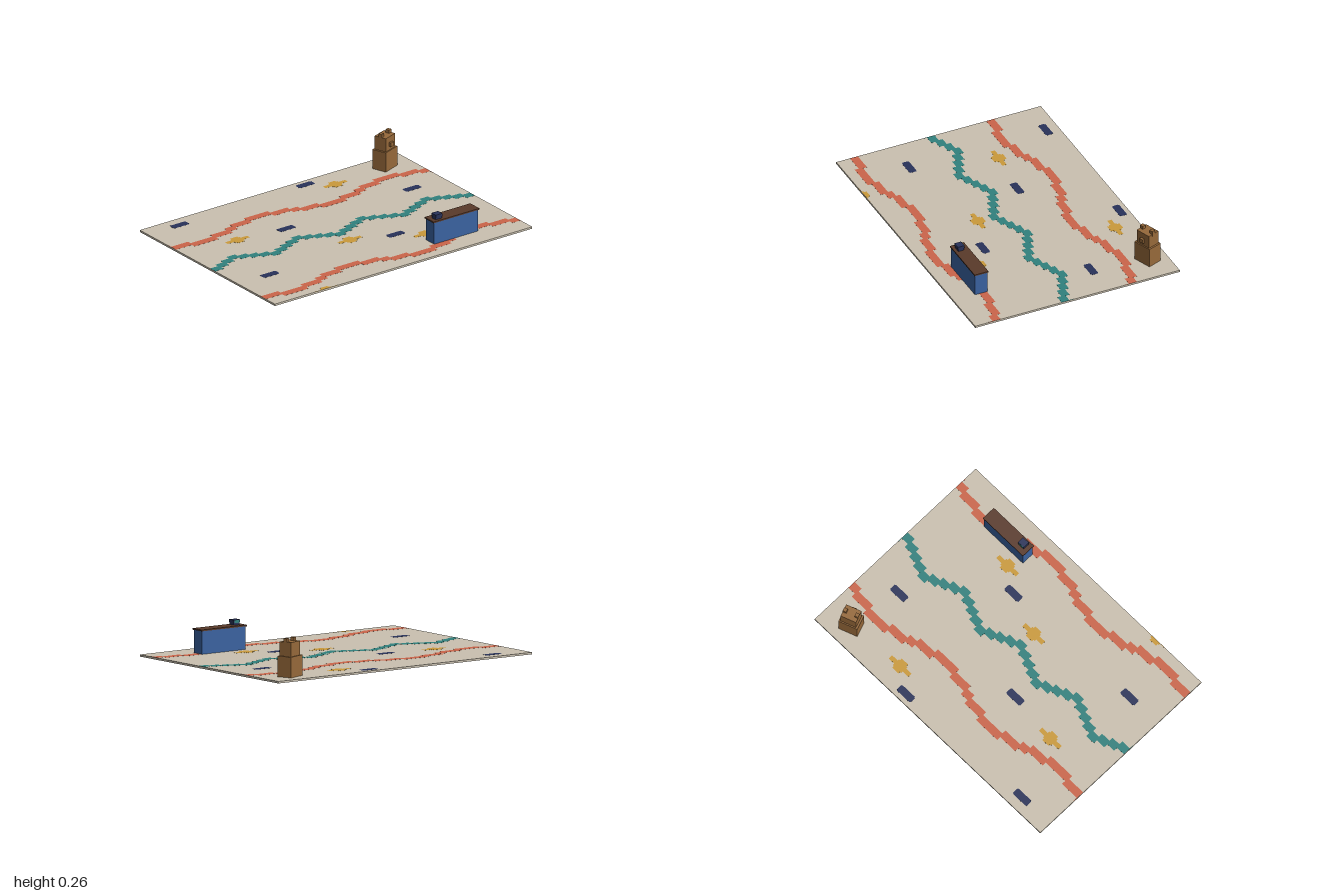
import * as THREE from 'three';
import { mergeGeometries } from 'three/addons/utils/BufferGeometryUtils.js';

const mat = (name, color) => {
  const m = new THREE.MeshStandardMaterial({ color });
  m.name = name;
  return m;
};

const HALF_X = 0.999, HALF_Z = 0.708, RUG_TOP = 0.014;

// Patch woven through the rug, trimmed to its outline
function patch(x0, x1, z0, z1) {
  x0 = Math.max(x0, -HALF_X); x1 = Math.min(x1, HALF_X);
  z0 = Math.max(z0, -HALF_Z); z1 = Math.min(z1, HALF_Z);
  if (x1 - x0 < 0.001 || z1 - z0 < 0.001) return [];
  return [new THREE.BoxGeometry(x1 - x0, RUG_TOP, z1 - z0)
    .translate((x0 + x1) / 2, RUG_TOP / 2, (z0 + z1) / 2)];
}
const rect = (x, z, w, d) => patch(x - w / 2, x + w / 2, z - d / 2, z + d / 2);

// Stepped zigzag: widths of the five levels within half a period
function wave(startX, midZ, direction, widths) {
  const parts = [];
  let x = startX, up = true;
  while (x < 1) {
    widths.forEach((w, i) => {
      const level = (up ? i - 2 : 2 - i) * direction;
      const z = midZ + level * 0.0272;
      parts.push(...patch(x - 0.004, x + w + 0.004, z - 0.027, z + 0.027));
      x += w;
    });
    up = !up;
  }
  return parts;
}

export function createModel() {
  const model = new THREE.Group();
  const beige = mat('beige', 0xcac1b0), coral = mat('coral', 0xcb654a);
  const teal = mat('teal', 0x31817d), gold = mat('gold', 0xca9a3a);
  const navy = mat('navy', 0x28325a), blue = mat('blue', 0x3a62a0);
  const darkWood = mat('dark wood', 0x5a3a2a), brown = mat('brown', 0x96693a);

  const add = (parent, name, geometry, material) => {
    const mesh = new THREE.Mesh(geometry, material);
    mesh.name = name;
    parent.add(mesh);
    return mesh;
  };
  const box = (parent, name, w, h, d, x, y, z, material) =>
    add(parent, name, new THREE.BoxGeometry(w, h, d).translate(x, y + h / 2, z), material);

  // Rug with its pattern showing on both faces
  const rug = new THREE.Group();
  rug.name = 'rug';
  model.add(rug);
  box(rug, 'rugBase', 2, 0.013, 1.418, 0, 0.0005, 0, beige);

  const coralSteps = [0.09, 0.13, 0.06, 0.13, 0.09];
  add(rug, 'coralWaves', mergeGeometries([
    ...wave(-1.28, -0.385, 1, coralSteps),
    ...wave(-1.28, 0.56, 1, coralSteps),
  ]), coral);
  add(rug, 'tealWave', mergeGeometries(
    wave(-1.03, 0.028, -1, [0.03, 0.065, 0.06, 0.065, 0.03])), teal);

  const crosses = [[-0.6, -0.224], [-0.6, 0.721], [-0.034, 0.192], [0.402, -0.55], [0.402, 0.396]];
  add(rug, 'goldCrosses', mergeGeometries(crosses.flatMap(([x, z]) => [
    ...rect(x, z, 0.172, 0.03),
    ...rect(x, z, 0.075, 0.055),
    ...rect(x, z, 0.055, 0.085),
  ])), gold);

  const dashes = [[-0.753, -0.624], [-0.753, 0.322], [0.246, -0.654], [0.246, 0.293],
    [-0.251, -0.184], [0.749, -0.213]];
  add(rug, 'navyDashes', mergeGeometries(dashes.flatMap(([x, z]) => [
    ...rect(x, z, 0.122, 0.04),
    ...rect(x, z, 0.11, 0.05),
  ])), navy);

  // Service counter with a small till
  const counter = new THREE.Group();
  counter.name = 'counter';
  counter.position.set(0.518, RUG_TOP, 0.518);
  model.add(counter);
  box(counter, 'counterBody', 0.342, 0.146, 0.086, 0, 0, 0, blue);
  box(counter, 'counterTop', 0.355, 0.009, 0.096, 0, 0.146, 0, darkWood);
  box(counter, 'tillBase', 0.048, 0.016, 0.04, -0.124, 0.155, 0.008, navy);
  box(counter, 'tillHead', 0.05, 0.018, 0.045, -0.124, 0.17, 0.009, navy);
  box(counter, 'tillScreen', 0.038, 0.018, 0.004, -0.124, 0.168, -0.0145, teal);

  // Blocky seated animal figure, turned slightly
  const figure = new THREE.Group();
  figure.name = 'animalFigure';
  figure.position.set(0.808, RUG_TOP, -0.578);
  figure.rotation.y = THREE.MathUtils.degToRad(20);
  model.add(figure);
  box(figure, 'body', 0.13, 0.131, 0.1, 0, 0, 0, brown);
  box(figure, 'head', 0.106, 0.09, 0.084, 0, 0.131, 0, brown);
  box(figure, 'snout', 0.03, 0.027, 0.022, 0, 0.155, 0.046, brown);
  for (const side of [-1, 1])
    box(figure, 'ear', 0.025, 0.035, 0.025, side * 0.041, 0.208, 0, brown);

  return model;
}
